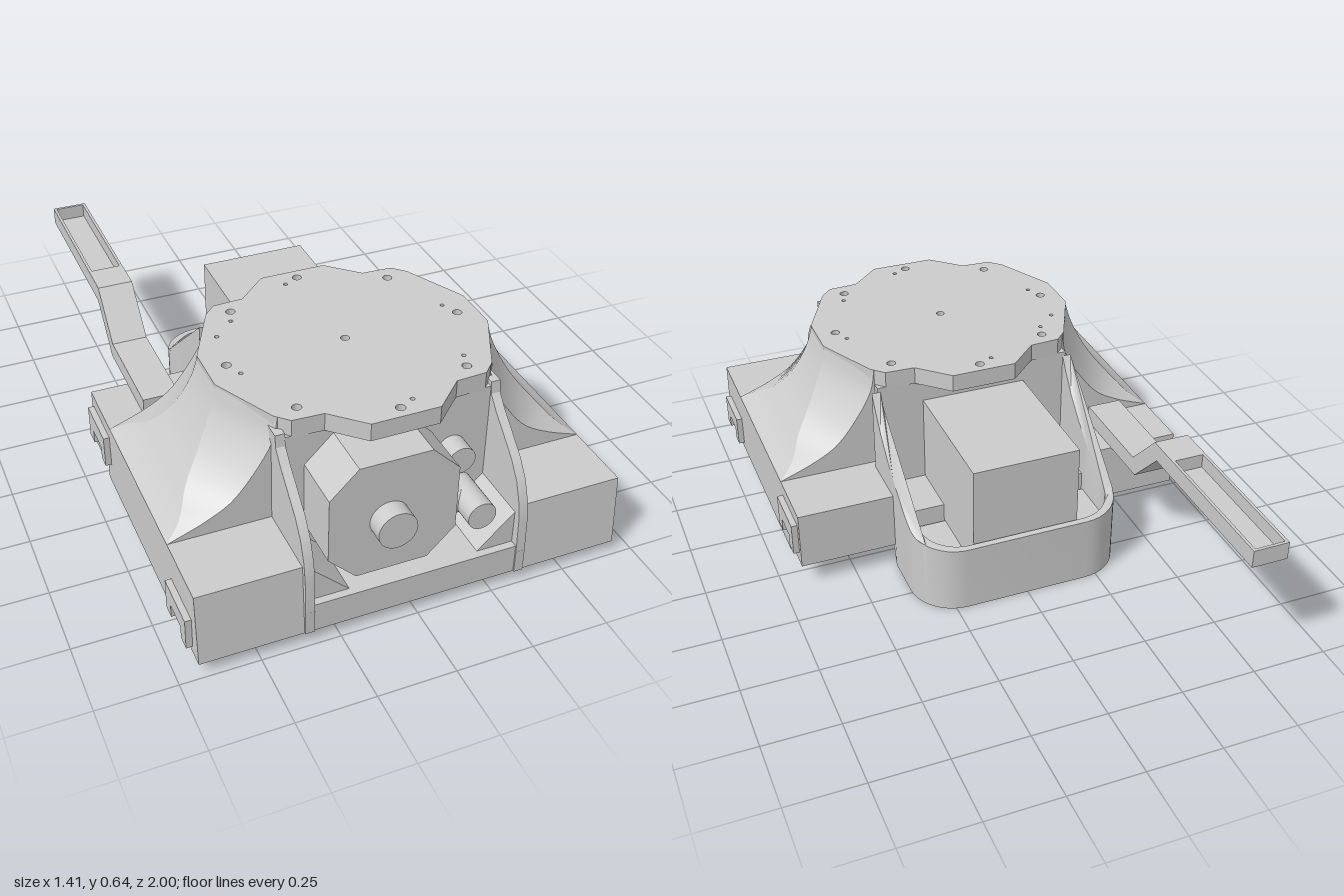
import * as THREE from 'three';
import { toCreasedNormals } from 'three/addons/utils/BufferGeometryUtils.js';

const grey = new THREE.MeshStandardMaterial({ color: 0xcccccc, side: THREE.DoubleSide });
const MID = 0.435; // z of the deck centre

export function createModel() {
  const root = new THREE.Group();
  const add = (name, geo) => {
    const mesh = new THREE.Mesh(geo, grey);
    mesh.name = name;
    root.add(mesh);
    return mesh;
  };
  const shapeOf = (pts) => new THREE.Shape(pts.map(([a, b]) => new THREE.Vector2(a, b)));
  const extrude = (shape, depth) =>
    new THREE.ExtrudeGeometry(shape, { depth, bevelEnabled: false, curveSegments: 16 });
  // profile given as [z, y], swept from x0 to x1
  const sweepX = (pts, x0, x1) =>
    toCreasedNormals(extrude(shapeOf(pts), x1 - x0).rotateY(-Math.PI / 2).translate(x1, 0, 0), 0.5);
  // plan given as [x, z], raised from y0 to y1
  const raiseY = (shape, y0, y1) =>
    toCreasedNormals(extrude(shape, y1 - y0).rotateX(Math.PI / 2).translate(0, y1, 0), 0.5);
  const box = (name, x0, x1, y0, y1, z0, z1) =>
    add(name, new THREE.BoxGeometry(x1 - x0, y1 - y0, z1 - z0)
      .translate((x0 + x1) / 2, (y0 + y1) / 2, (z0 + z1) / 2));
  const rodZ = (name, x, y, r, z0, z1) =>
    add(name, new THREE.CylinderGeometry(r, r, z1 - z0, 32).rotateX(Math.PI / 2)
      .translate(x, y, (z0 + z1) / 2));

  // Base: underside has two rail channels; the middle is lower at front and back
  const underside = [[0.985, 0.04], [0.89, 0.04], [0.89, 0.11], [0.8, 0.11], [0.8, 0.04],
    [0.08, 0.04], [0.08, 0.17], [-0.01, 0.17], [-0.01, 0.08], [-0.08, 0.08]];
  const sideProfile = [...underside, [-0.08, 0.28], [0.965, 0.28]];
  add('baseRight', sweepX(sideProfile, -0.685, -0.34));
  add('baseLeft', sweepX(sideProfile, 0.34, 0.685));
  add('baseMiddle', sweepX([...underside, [-0.08, 0.2], [0.11, 0.2], [0.11, 0.28],
    [0.76, 0.28], [0.76, 0.14], [0.985, 0.14]], -0.34, 0.34));
  box('core', -0.34, 0.34, 0.2, 0.585, 0.11, 0.76);

  // Deck plate with bolt holes
  const quarter = [[0.45, 0.08], [0.35, 0.285], [0.31, 0.325], [0.21, 0.33], [0.11, 0.425]];
  const half = [...quarter, ...quarter.map(([x, z]) => [-x, z]).reverse()];
  const deck = shapeOf([...half, ...half.map(([x, z]) => [-x, -z])].map(([x, z]) => [x, z + MID]));
  const hole = (x, z, r) => deck.holes.push(new THREE.Path().absarc(x, z, r, 0, Math.PI * 2, true));
  for (let i = 0; i < 8; i++) {
    const a = (i * Math.PI) / 4;
    hole(0.385 * Math.cos(a), MID + 0.385 * Math.sin(a), 0.015);
  }
  hole(0, MID, 0.014);
  for (const [x, z] of [[0.05, 0.36], [0.29, 0.22], [0.36, -0.055]]) {
    hole(x, MID + z, 0.007);
    hole(-x, MID - z, 0.007);
  }
  hole(-0.36, MID + 0.055 - 0.21, 0.007);
  add('deck', raiseY(deck, 0.58, 0.64));

  // Concave side flares: each level has an end width g, a middle width f
  // and a half length of the flat middle
  const levels = new THREE.CatmullRomCurve3([
    [0.64, 0.445, 0.085], [0.56, 0.47, 0.09], [0.45, 0.525, 0.12],
    [0.37, 0.585, 0.175], [0.32, 0.63, 0.25], [0.28, 0.685, 0.295],
  ].map((p) => new THREE.Vector3(...p))).getPoints(20);
  const endWidth = new THREE.CatmullRomCurve3([
    [0.64, 0.34, 0], [0.56, 0.355, 0], [0.45, 0.42, 0],
    [0.37, 0.49, 0], [0.32, 0.58, 0], [0.28, 0.685, 0],
  ].map((p) => new THREE.Vector3(...p))).getPoints(20);
  const flare = (side) => {
    const pos = [], idx = [];
    for (let panel = 0; panel < 5; panel++) {
      const start = pos.length / 3;
      levels.forEach((l, i) => {
        const g = endWidth[i].y, e = 0.295;
        const section = [[0.33, -e], [g, -e], [l.y, -l.z], [l.y, l.z], [g, e], [0.33, e]];
        for (const [x, z] of [section[panel], section[panel + 1]]) pos.push(side * x, l.x, MID + z);
        if (i === 0) return;
        const a = start + 2 * (i - 1);
        for (const [p, q, r] of [[a, a + 1, a + 2], [a + 1, a + 3, a + 2]])
          idx.push(...(side > 0 ? [p, q, r] : [p, r, q]));
      });
    }
    const geo = new THREE.BufferGeometry();
    geo.setAttribute('position', new THREE.Float32BufferAttribute(pos, 3));
    geo.setIndex(idx);
    geo.computeVertexNormals();
    return geo;
  };
  add('flareLeft', flare(1));
  add('flareRight', flare(-1));

  // Front bay: curved cheek walls and sloped lower corners
  const cheek = [[0.7, 0.1], [0.7, 0.6], [0.76, 0.6], [0.765, 0.56], [0.8, 0.52], [0.85, 0.475],
    [0.91, 0.42], [0.95, 0.365], [0.975, 0.3], [0.985, 0.24], [0.99, 0.115], [0.89, 0.115]];
  for (const s of [-1, 1]) {
    add('frontCheek', sweepX(cheek, s * 0.345 - 0.015, s * 0.345 + 0.015));
    box('frontCheekFoot', s * 0.345 - 0.015, s * 0.345 + 0.015, 0.04, 0.12, 0.9, 0.99);
    const corner = shapeOf([[s * 0.21, 0.14], [s * 0.335, 0.14], [s * 0.335, 0.26]]);
    add('frontBayCorner', extrude(corner, 0.2).translate(0, 0, 0.76));
  }

  // Front unit: eight-sided case, hub and pipe fittings
  const c = 0.09;
  add('frontCase', extrude(shapeOf([[-0.27 + c, 0.16], [0.14 - c, 0.16], [0.14, 0.16 + c],
    [0.14, 0.56 - c], [0.14 - c, 0.56], [-0.27 + c, 0.56], [-0.27, 0.56 - c], [-0.27, 0.16 + c]]),
  0.18).translate(0, 0, 0.76));
  rodZ('frontHub', -0.08, 0.35, 0.062, 0.93, 1);
  rodZ('lowerPipe', 0.205, 0.295, 0.046, 0.82, 0.98);
  rodZ('upperPipe', 0.21, 0.39, 0.046, 0.74, 0.83);
  add('pipeLink', new THREE.CylinderGeometry(0.045, 0.045, 0.08, 32).rotateZ(Math.PI / 2)
    .translate(0.165, 0.293, 0.87));

  // Rear housing: rounded tray whose wall top follows a falling curve
  const fall = [[0.115, 0.59], [0.11, 0.57], [0.08, 0.525], [0.03, 0.46], [-0.04, 0.39],
    [-0.12, 0.33], [-0.2, 0.28], [-0.28, 0.245], [-0.4, 0.23]];
  const wallTop = (z) => {
    const i = Math.max(1, fall.findIndex(([fz]) => fz <= z));
    const [[z0, y0], [z1, y1]] = [fall[i - 1], fall[i]];
    return y0 + ((y1 - y0) * (z - z0)) / (z1 - z0);
  };
  const uPlan = (w, back, r, zs) => {
    const right = zs.map((z) => [w, z]);
    for (let i = 0; i <= 10; i++) {
      const a = (i * Math.PI) / 20;
      right.push([w - r + r * Math.cos(a), back + r - r * Math.sin(a)]);
    }
    return [...right, ...right.map(([x, z]) => [-x, z]).reverse()];
  };
  const zs = [0.11, 0.08, 0.03, -0.04, -0.085, -0.09, -0.12, -0.2];
  const ring = [...uPlan(0.36, -0.385, 0.15, zs), ...uPlan(0.33, -0.365, 0.13, zs).reverse()];
  const wall = extrude(shapeOf(ring), 1).rotateX(Math.PI / 2).translate(0, 1, 0);
  const wp = wall.attributes.position;
  for (let i = 0; i < wp.count; i++) {
    const z = wp.getZ(i);
    wp.setY(i, wp.getY(i) > 0.5 ? wallTop(z) : z > -0.088 ? 0.2 : 0);
  }
  add('rearWall', toCreasedNormals(wall, 0.5));
  add('rearFloor', raiseY(shapeOf(uPlan(0.355, -0.38, 0.145, [-0.09])), 0, 0.14));
  box('rearBox', -0.182, 0.182, 0.13, 0.505, -0.36, 0.12);

  // Rail clips on both sides
  const clip = (z0, z1, y0, y1, n0, n1, ny) =>
    [[z0, y0], [z0, y1], [z1, y1], [z1, y0], [n1, y0], [n1, ny], [n0, ny], [n0, y0]];
  for (const x of [-0.705, 0.68]) {
    add('frontClip', sweepX(clip(0.755, 0.935, 0.065, 0.17, 0.8, 0.89, 0.11), x, x + 0.025));
    add('rearClip', sweepX(clip(-0.06, 0.125, 0.125, 0.235, -0.01, 0.08, 0.17), x, x + 0.025));
  }

  // Cranked handle with an open trough at its end
  add('handleArm', sweepX([[0.11, 0.28], [0.11, 0.34], [-0.24, 0.34], [-0.38, 0.485], [-0.5, 0.485],
    [-0.5, 0.425], [-0.4, 0.425], [-0.26, 0.28]], -0.56, -0.44));
  box('troughFloor', -0.56, -0.44, 0.425, 0.437, -1, -0.5);
  box('troughSide', -0.56, -0.55, 0.437, 0.485, -1, -0.5);
  box('troughSide', -0.45, -0.44, 0.437, 0.485, -1, -0.5);
  box('troughEnd', -0.55, -0.45, 0.437, 0.485, -1, -0.99);
  return root;
}
